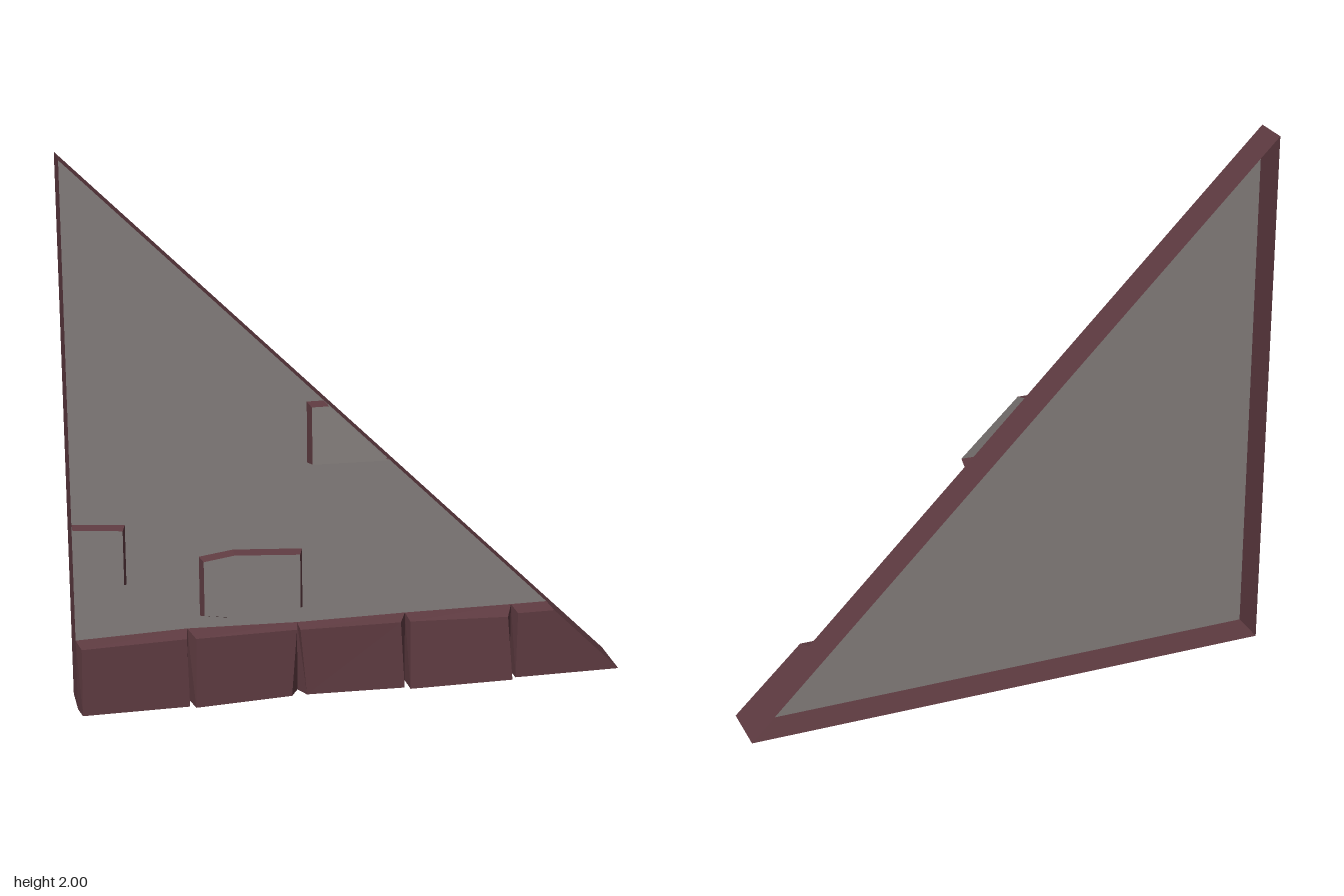
import * as THREE from 'three';

const FACE = 0.025, BACK = -0.11;
const makeMaterial = (color) =>
  new THREE.MeshStandardMaterial({ color, flatShading: true, side: THREE.DoubleSide });
const plaster = makeMaterial(0x857f7d);
const stone = makeMaterial(0x5d3a40);

// Open-backed block: counter-clockwise rear outline [x, y] at rearZ, front outline [x, y, z].
// openSide is the index of a side left out, where the block is cut off.
function block(name, rear, front, frontMaterial, openSide = -1, rearZ = FACE) {
  const pos = [];
  const n = rear.length;
  const b = rear.map(([x, y]) => [x, y, rearZ]);
  for (let i = 1; i < n - 1; i++) pos.push(...front[0], ...front[i], ...front[i + 1]);
  const capCount = pos.length / 3;
  for (let i = 0; i < n; i++) {
    if (i === openSide) continue;
    const j = (i + 1) % n;
    pos.push(...b[i], ...b[j], ...front[j], ...b[i], ...front[j], ...front[i]);
  }
  const geo = new THREE.BufferGeometry();
  geo.setAttribute('position', new THREE.Float32BufferAttribute(pos, 3));
  geo.addGroup(0, capCount, 0);
  geo.addGroup(capCount, pos.length / 3 - capCount, 1);
  geo.computeVertexNormals();
  const mesh = new THREE.Mesh(geo, [frontMaterial, stone]);
  mesh.name = name;
  return mesh;
}

export function createModel() {
  const group = new THREE.Group();
  group.name = 'triangularWall';

  // Right-triangle wall shell: plastered front, stone rim, open at the back
  const tri = [[-1, 0], [1, 0], [-1, 2]];
  group.add(block('wallShell', tri, tri.map(([x, y]) => [x, y, FACE]), plaster, -1, BACK));

  // Footing stones, open underneath: rear x range and top heights, then front corners
  // (bottom left, bottom right, top right, top left)
  const footing = [
    [-1, -0.6, 0.265, 0.276, [[-0.99, 0, 0.09], [-0.605, 0, 0.09], [-0.61, 0.258, 0.08], [-0.985, 0.25, 0.08]]],
    [-0.6, -0.2, 0.276, 0.265, [[-0.585, 0, 0.105], [-0.23, 0, 0.077], [-0.207, 0.25, 0.06], [-0.577, 0.258, 0.085]]],
    [-0.2, 0.2, 0.265, 0.267, [[-0.175, 0, 0.076], [0.185, 0, 0.092], [0.173, 0.252, 0.077], [-0.195, 0.25, 0.064]]],
    [0.2, 0.6, 0.267, 0.265, [[0.203, 0, 0.108], [0.588, 0, 0.108], [0.575, 0.238, 0.077], [0.208, 0.252, 0.077]]],
    [0.6, 1, 0.265, 0.265, [[0.605, 0, 0.09], [1, 0, 0.09], [0.75, 0.25, 0.08], [0.612, 0.25, 0.08]]],
  ];
  footing.forEach(([x0, x1, y0, y1, front], i) => {
    const topRight = i === 4 ? 1 - y1 : x1; // last stone follows the slope
    const rear = [[x0, 0], [x1, 0], [topRight, y1], [x0, y0]];
    group.add(block(`footingStone${i + 1}`, rear, front, stone, 0));
  });

  // Stones showing through the plaster, open where the wall edge cuts them
  group.add(block('middleWallStone',
    [[-0.553, 0.321], [-0.44, 0.303], [-0.18, 0.322], [-0.18, 0.548], [-0.43, 0.564], [-0.553, 0.547]],
    [[-0.541, 0.332, 0.057], [-0.435, 0.316, 0.057], [-0.193, 0.333, 0.057],
      [-0.193, 0.537, 0.057], [-0.43, 0.553, 0.057], [-0.541, 0.537, 0.057]], plaster));
  group.add(block('edgeWallStone',
    [[-1, 0.446], [-0.813, 0.463], [-0.813, 0.687], [-1, 0.703]],
    [[-1, 0.457, 0.057], [-0.825, 0.474, 0.057], [-0.825, 0.677, 0.057], [-1, 0.692, 0.057]], plaster, 3));
  group.add(block('slopeWallStone',
    [[-0.16, 0.872], [0, 0.864], [0.132, 0.868], [-0.098, 1.098], [-0.16, 1.098]],
    [[-0.15, 0.88, 0.077], [0, 0.873, 0.077], [0.124, 0.876, 0.077],
      [-0.088, 1.088, 0.065], [-0.15, 1.088, 0.065]], plaster, 2));
  return group;
}
